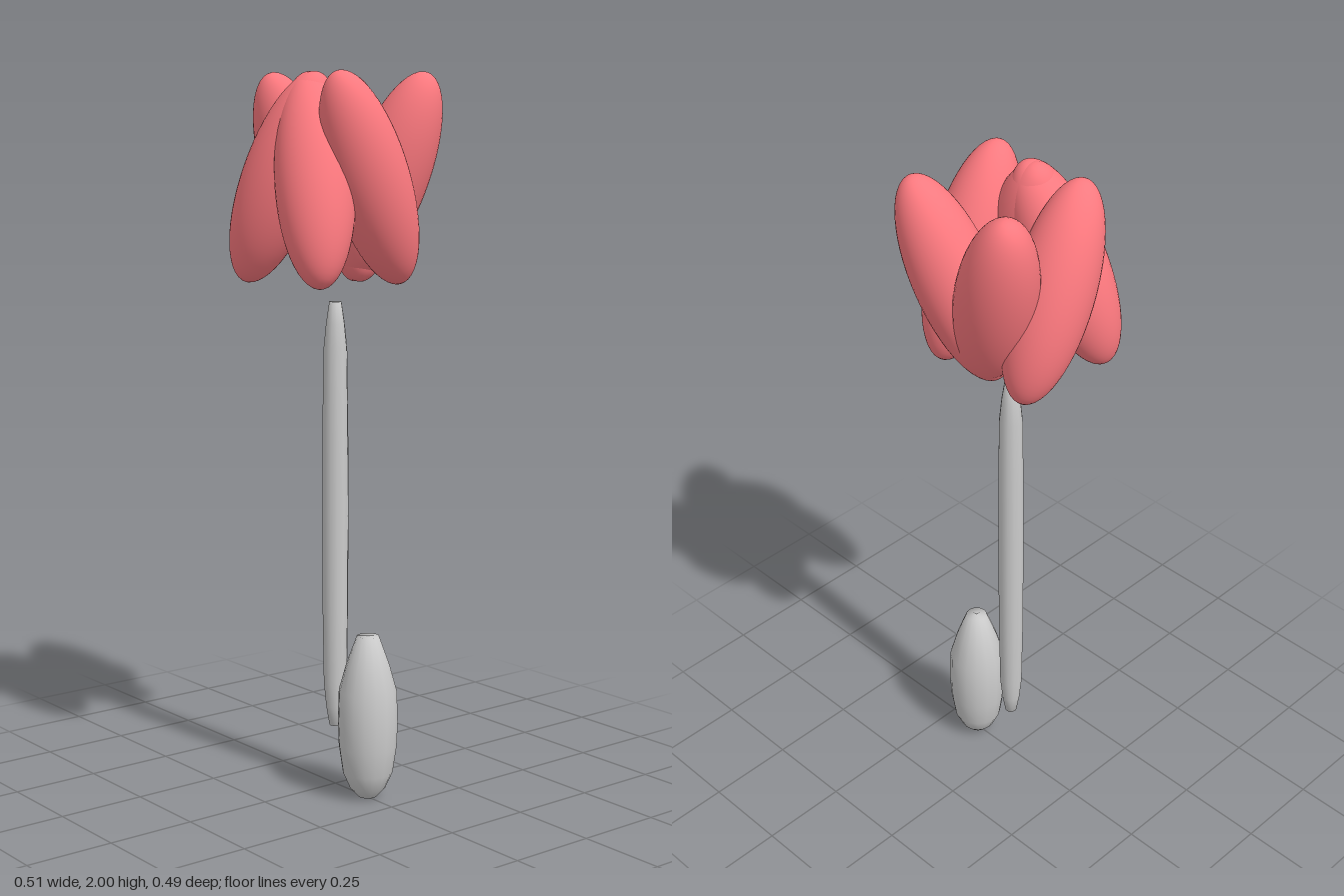
import * as THREE from 'three';

const grey = new THREE.MeshStandardMaterial({ color: 0xcccccc });
const red = new THREE.MeshStandardMaterial({ color: 0xff7a80 });

// Closed, smooth solid of revolution from [radius, height] pairs
function turned(name, points, sides) {
  const profile = points.map(([r, y]) => new THREE.Vector2(r, y));
  const mesh = new THREE.Mesh(new THREE.LatheGeometry(profile, sides), grey);
  mesh.name = name;
  return mesh;
}

export function createModel() {
  const model = new THREE.Group();
  model.name = 'flower';

  // Six ellipsoid petals on a ring, each leaning in its own direction
  const petals = new THREE.Group();
  petals.name = 'petals';
  const petalGeometry = new THREE.SphereGeometry(1, 40, 28).scale(0.108, 0.303, 0.108);
  const ring = 0.147, tilt = 0.375;
  const up = new THREE.Vector3(0, 1, 0);
  const kinds = [
    { name: 'FrontPetal', at: 60, lean: 210 },
    { name: 'SidePetal', at: 0, lean: 90 },
    { name: 'BackPetal', at: -60, lean: -30 },
  ];
  for (const { name, at, lean } of kinds) {
    for (const side of [1, -1]) {
      const a = THREE.MathUtils.degToRad(at), l = THREE.MathUtils.degToRad(lean);
      const petal = new THREE.Mesh(petalGeometry, red);
      petal.name = (side > 0 ? 'left' : 'right') + name;
      petal.position.set(side * ring * Math.cos(a), 1.716, ring * Math.sin(a));
      const axis = new THREE.Vector3(
        side * Math.sin(tilt) * Math.cos(l), Math.cos(tilt), Math.sin(tilt) * Math.sin(l));
      petal.quaternion.setFromUnitVectors(up, axis);
      petals.add(petal);
    }
  }
  model.add(petals);

  // Slender stem, tapered at both ends
  model.add(turned('stem', [
    [0, 0.175], [0.017, 0.175], [0.026, 0.23], [0.033, 0.3], [0.036, 0.5], [0.037, 0.78],
    [0.036, 1.05], [0.033, 1.25], [0.026, 1.32], [0.017, 1.38], [0, 1.38],
  ], 12));

  // Leaf bulb standing beside the stem
  const leaf = turned('leaf', [
    [0, 0], [0.026, 0.004], [0.05, 0.03], [0.07, 0.075], [0.081, 0.15], [0.084, 0.22],
    [0.081, 0.31], [0.06, 0.385], [0.031, 0.465], [0, 0.465],
  ], 16);
  leaf.position.x = 0.145;
  model.add(leaf);

  return model;
}
